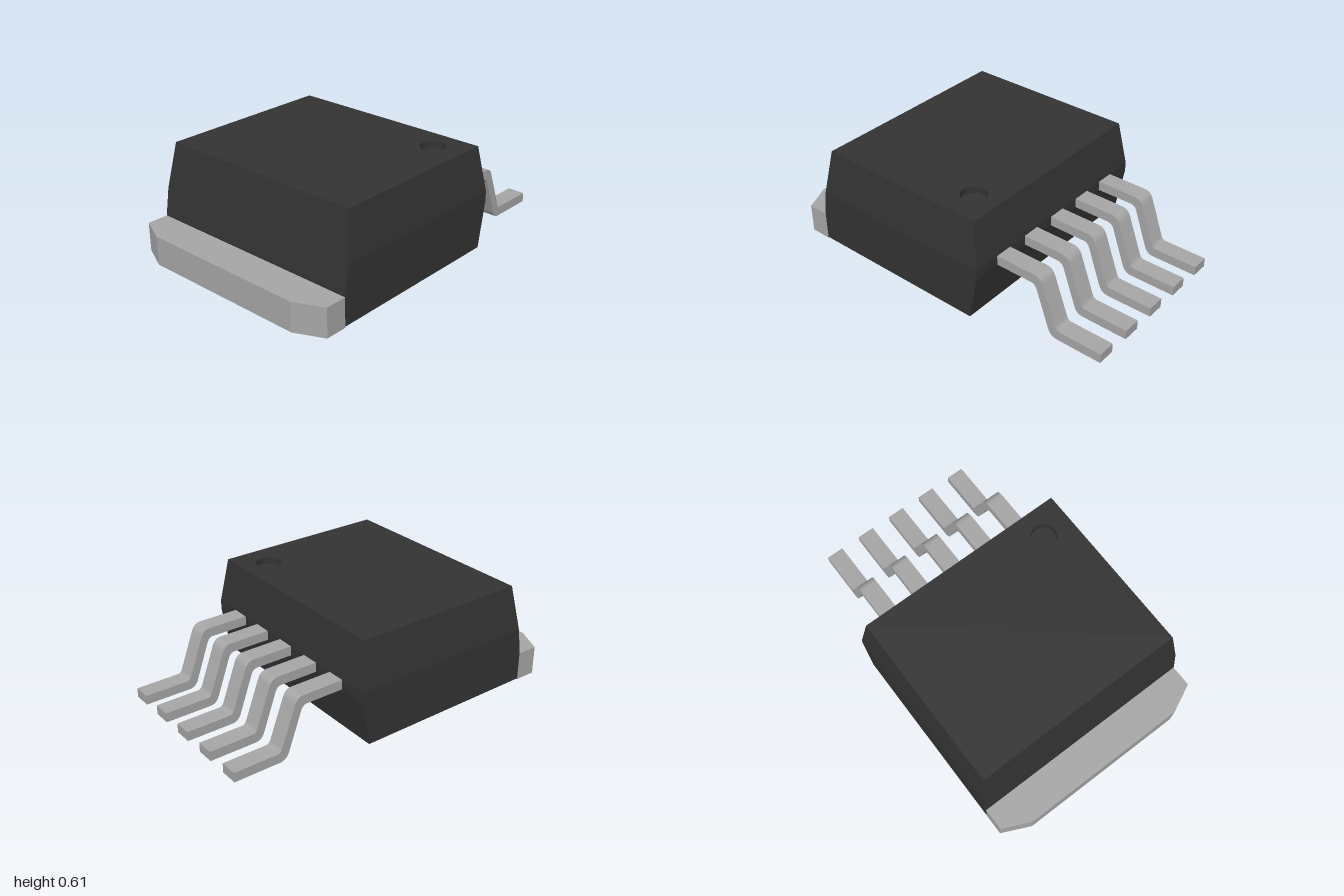
import * as THREE from 'three';
import { toCreasedNormals } from 'three/addons/utils/BufferGeometryUtils.js';

const TOP = 0.605;

// Moulded case: stacked rectangular rings, open at the top
function caseGeometry() {
  // y, left x, right x, half depth
  const rings = [
    [0.018, -0.8, 0.29, 0.663],
    [0.19, -0.8, 0.322, 0.663],
    [0.285, -0.784, 0.34, 0.663],
    [0.34, -0.775, 0.34, 0.663],
    [TOP, -0.73, 0.3, 0.623],
  ].map(([y, x0, x1, z]) => [[x0, y, z], [x1, y, z], [x1, y, -z], [x0, y, -z]]);
  const pos = [];
  const quad = (a, b, c, d) => pos.push(...a, ...b, ...c, ...a, ...c, ...d);
  for (let i = 0; i < rings.length - 1; i++) {
    for (let k = 0; k < 4; k++) {
      const n = (k + 1) % 4;
      quad(rings[i][k], rings[i][n], rings[i + 1][n], rings[i + 1][k]);
    }
  }
  const [a, b, c, d] = rings[0];
  quad(a, d, c, b);
  const g = new THREE.BufferGeometry();
  g.setAttribute('position', new THREE.Float32BufferAttribute(pos, 3));
  g.computeVertexNormals();
  return g;
}

// Gull-wing lead, drawn from the side and extruded to its width
function leadGeometry(width) {
  const s = new THREE.Shape();
  s.moveTo(0.3, 0.285);
  s.lineTo(0.56, 0.285);
  s.quadraticCurveTo(0.585, 0.285, 0.597, 0.255);
  s.lineTo(0.674, 0.045);
  s.quadraticCurveTo(0.69, 0, 0.73, 0);
  s.lineTo(1, 0);
  s.lineTo(1, 0.055);
  s.lineTo(0.745, 0.055);
  s.quadraticCurveTo(0.725, 0.055, 0.716, 0.08);
  s.lineTo(0.634, 0.297);
  s.quadraticCurveTo(0.618, 0.34, 0.58, 0.34);
  s.lineTo(0.3, 0.34);
  const g = new THREE.ExtrudeGeometry(s, { depth: width, bevelEnabled: false, curveSegments: 8 });
  g.translate(0, 0, -width / 2);
  return toCreasedNormals(g, 0.5);
}

// Heat tab outline in plan: chamfered outer end, notches, narrower pad under the case
function tabGeometry(bottom, height) {
  const half = [
    [-1, 0.5], [-0.925, 0.663], [-0.8, 0.663], [-0.8, 0.44], [-0.63, 0.44],
    [-0.6, 0.455], [-0.59, 0.5], [0.04, 0.5],
  ];
  const mirrored = half.map(([x, z]) => [x, -z]).reverse();
  const s = new THREE.Shape([...half, ...mirrored].map(([x, z]) => new THREE.Vector2(x, z)));
  const g = new THREE.ExtrudeGeometry(s, { depth: height, bevelEnabled: false });
  g.rotateX(-Math.PI / 2);
  g.translate(0, bottom, 0);
  return g;
}

export function createModel() {
  const model = new THREE.Group();
  model.name = 'powerPackage';
  const plastic = new THREE.MeshStandardMaterial({ color: 0x333333, side: THREE.DoubleSide });
  plastic.name = 'black plastic';
  const metal = new THREE.MeshStandardMaterial({ color: 0xa6a6a6 });
  metal.name = 'grey metal';
  const add = (name, geometry, material, x = 0, y = 0, z = 0) => {
    const mesh = new THREE.Mesh(geometry, material);
    mesh.name = name;
    mesh.position.set(x, y, z);
    model.add(mesh);
  };

  add('case', caseGeometry(), plastic);

  // Top face with a round pin-one dimple
  const dimple = { x: 0.14, z: 0.445, r: 0.072, depth: 0.04 };
  const top = new THREE.Shape();
  top.moveTo(-0.73, -0.623);
  top.lineTo(0.3, -0.623);
  top.lineTo(0.3, 0.623);
  top.lineTo(-0.73, 0.623);
  top.holes.push(new THREE.Path().absarc(dimple.x, -dimple.z, dimple.r, 0, Math.PI * 2, true));
  add('caseTop', new THREE.ShapeGeometry(top, 24).rotateX(-Math.PI / 2), plastic, 0, TOP, 0);
  add('dimpleWall', new THREE.CylinderGeometry(dimple.r, dimple.r, dimple.depth, 48, 1, true),
    plastic, dimple.x, TOP - dimple.depth / 2, dimple.z);
  add('dimpleFloor', new THREE.CircleGeometry(dimple.r, 48).rotateX(-Math.PI / 2),
    plastic, dimple.x, TOP - dimple.depth, dimple.z);

  add('heatTab', tabGeometry(0.012, 0.168), metal);

  // Row of five leads
  const lead = leadGeometry(0.104);
  for (let i = -2; i <= 2; i++) add('lead' + (i + 3), lead, metal, 0, 0, i * 0.224);

  return model;
}
